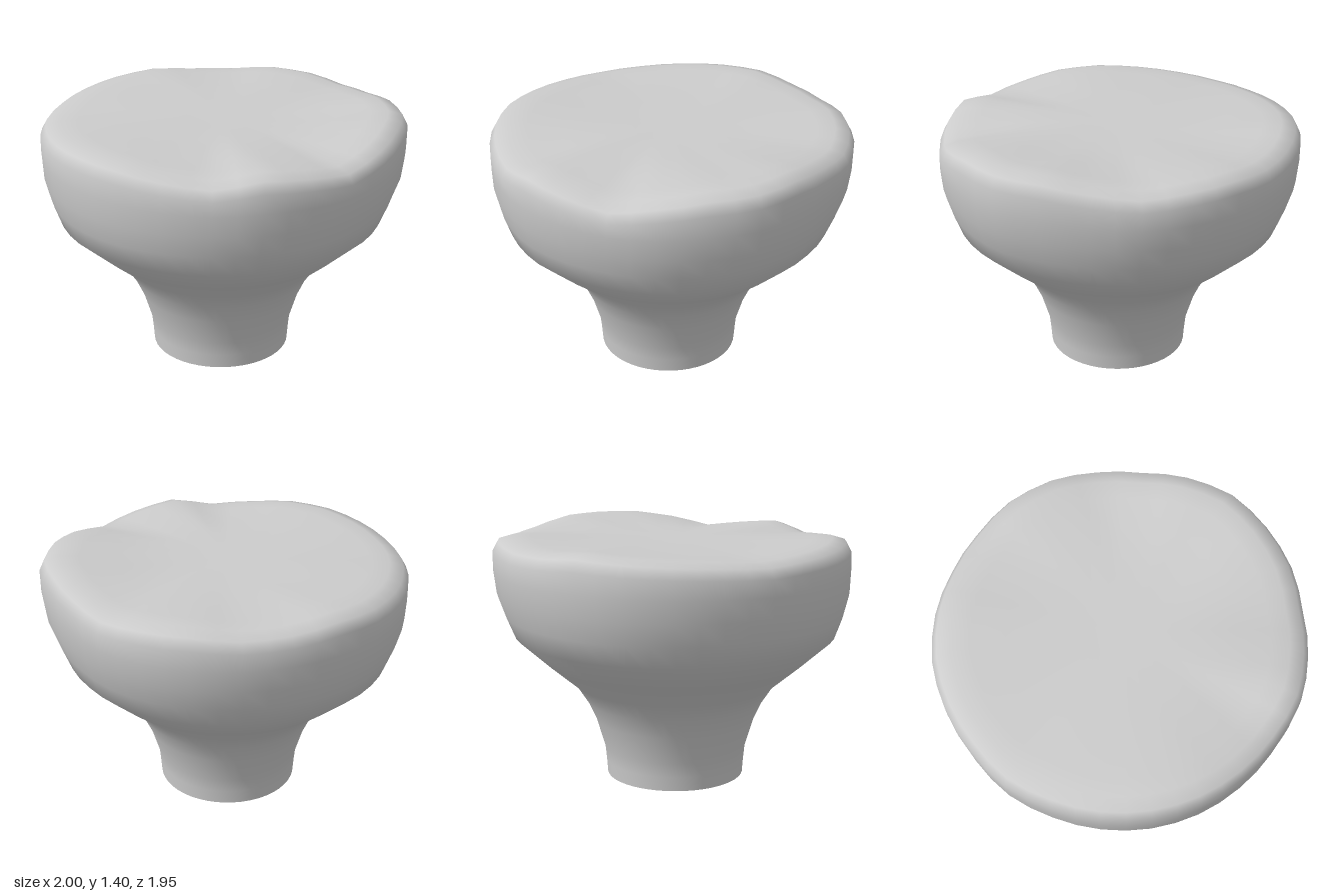
import * as THREE from 'three';
import { mergeVertices } from 'three/addons/utils/BufferGeometryUtils.js';

// Worn rim, every 15 degrees from the front towards +x: height and radius
const rimHeight = [1.32, 1.365, 1.34, 1.31, 1.36, 1.395, 1.4, 1.4, 1.37, 1.35, 1.37, 1.375,
  1.355, 1.36, 1.38, 1.37, 1.36, 1.35, 1.34, 1.35, 1.36, 1.37, 1.365, 1.34];
const rimRadius = [0.97, 0.98, 0.97, 0.965, 0.98, 0.985, 1, 0.975, 0.96, 0.98, 0.99, 0.99,
  0.98, 0.98, 0.99, 1, 0.995, 0.99, 1, 0.99, 0.99, 0.99, 0.985, 0.975];

// Outer profile (radius, height) from the open foot to the middle of the top
const profile = [
  [0.388, 0], [0.394, 0.08], [0.402, 0.16], [0.45, 0.32], [0.5, 0.43], [0.565, 0.53], [0.73, 0.67],
  [0.895, 0.82], [0.94, 0.94], [0.975, 1.06], [0.985, 1.18], [0.985, 1.28], [0.955, 1.335],
  [0.88, 1.357], [0.78, 1.358], [0.6, 1.355], [0.4, 1.352], [0.2, 1.35], [0, 1.35],
];

// Linear look-up around the rim
function around(table, angle) {
  const n = table.length;
  const t = ((angle / (2 * Math.PI)) * n + n) % n;
  const i = Math.floor(t);
  return THREE.MathUtils.lerp(table[i % n], table[(i + 1) % n], t - i);
}

function createBody() {
  let geo = new THREE.LatheGeometry(profile.map(([r, y]) => new THREE.Vector2(r, y)), 48);
  const pos = geo.attributes.position;
  for (let i = 0; i < pos.count; i++) {
    const x = pos.getX(i), y = pos.getY(i), z = pos.getZ(i);
    const r = Math.hypot(x, z);
    const angle = Math.atan2(x, z);
    // Unevenness grows towards the rim and fades across the top
    const up = THREE.MathUtils.smoothstep(y, 0.5, 1.25);
    const scale = 1 + up * (around(rimRadius, angle) / 0.983 - 1);
    const lift = THREE.MathUtils.smoothstep(y, 1.1, 1.33) * THREE.MathUtils.smoothstep(r, 0.35, 0.93);
    // The stem sits slightly off the middle of the cap
    const off = 1 - THREE.MathUtils.smoothstep(y, 0.8, 1.25);
    pos.setXYZ(i, x * scale - 0.015 * off, y + lift * (around(rimHeight, angle) - 1.36), z * scale + 0.01 * off);
  }
  // Weld the seam so shading is smooth all the way round
  geo.deleteAttribute('uv');
  geo.deleteAttribute('normal');
  geo = mergeVertices(geo, 1e-4);
  geo.computeVertexNormals();
  return geo;
}

export function createModel() {
  const group = new THREE.Group();
  group.name = 'flaredStump';
  const material = new THREE.MeshStandardMaterial({ color: 0xcccccc, side: THREE.DoubleSide });
  const body = new THREE.Mesh(createBody(), material);
  body.name = 'stemAndCap';
  group.add(body);
  return group;
}
